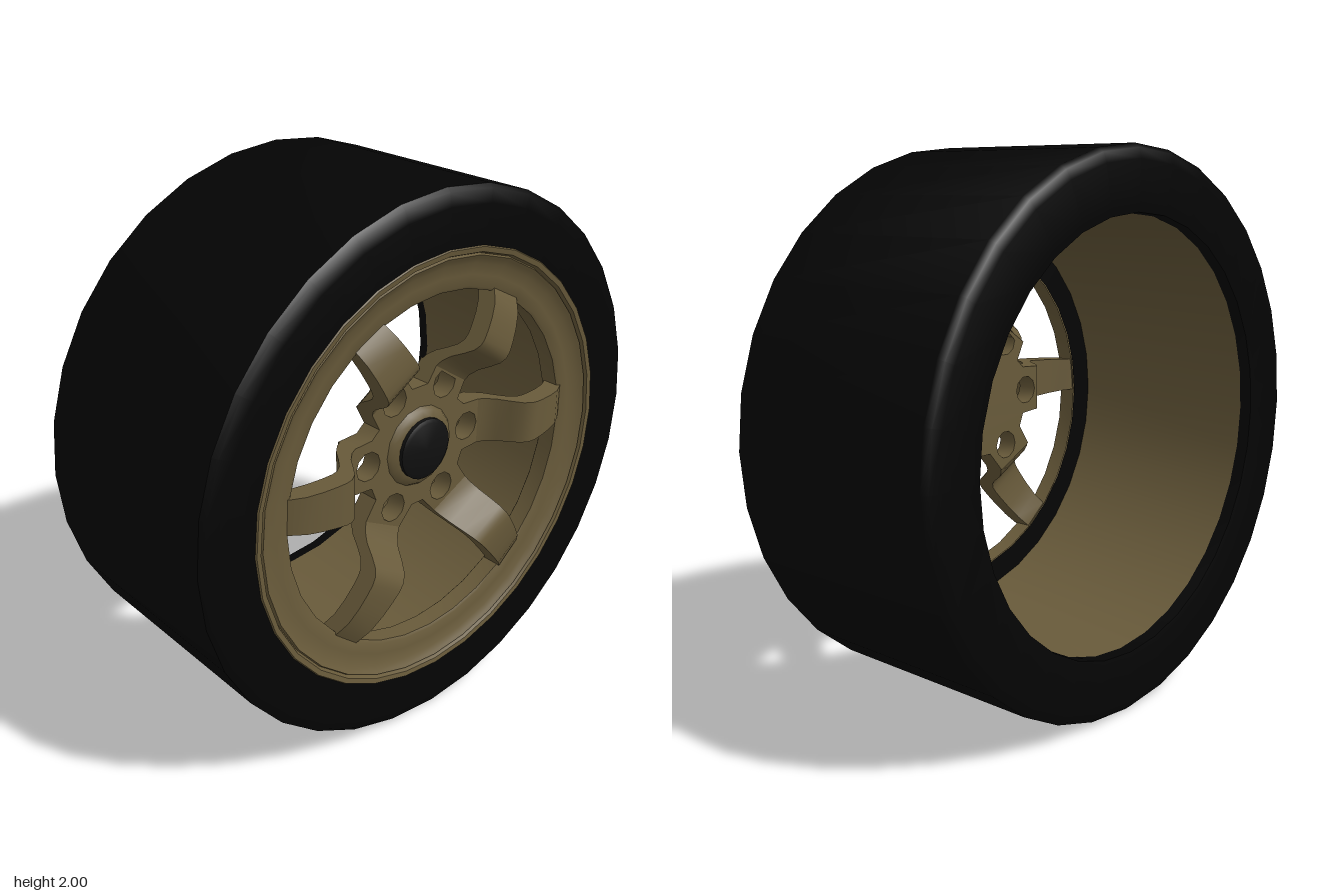
import * as THREE from 'three';
import { toCreasedNormals } from 'three/addons/utils/BufferGeometryUtils.js';

const paint = (color) => new THREE.MeshStandardMaterial({ color, side: THREE.DoubleSide });
const rubber = paint(0x040404), bronze = paint(0x685a3a), dark = paint(0x101010);
const HUB_Y = 1.067; // the hub sits a little above the rim centre
const v2 = (x, y) => new THREE.Vector2(x, y);

function addMesh(group, name, geometry, material) {
  const mesh = new THREE.Mesh(toCreasedNormals(geometry, 0.8), material);
  mesh.name = name;
  group.add(mesh);
}

// Lathe of [radius, x] points around a level axis along x.
function wheelLathe(points, y, segments = 32) {
  return new THREE.LatheGeometry(points.map(([r, x]) => v2(r, x)), segments)
    .rotateZ(-Math.PI / 2).translate(0, y, 0);
}

// Spokes as two edges, [inner, outer] each, seen from the outer face; counter-clockwise.
const rightSpokes = [
  { a: [v2(0.027, 0.84), v2(0.36, 0.46)], b: [v2(0.2, 0.925), v2(0.455, 0.54)] },
  { a: [v2(0.22, 0.975), v2(0.64, 1.005)], b: [v2(0.22, 1.16), v2(0.64, 1.135)] },
  { a: [v2(0.187, 1.19), v2(0.364, 1.54)], b: [v2(0.037, 1.294), v2(0.246, 1.604)] },
];
const flip = (edge) => edge.map((p) => v2(-p.x, p.y));
const leftSpokes = rightSpokes.map(({ a, b }) => ({ a: flip(b), b: flip(a) })).reverse();
const spokes = [...rightSpokes, ...leftSpokes];
const along = (edge, t) => edge[0].clone().lerp(edge[1], t);
const STUB = 0.2; // share of each spoke that belongs to the hub plate

// Spoke: a box bent through stations of [share of length, front depth].
const stations = [[0.17, 0.318], [0.24, 0.333], [0.31, 0.362], [0.38, 0.408], [0.44, 0.442],
  [0.5, 0.459], [0.56, 0.463], [0.65, 0.46], [0.77, 0.452], [0.9, 0.437], [1, 0.413], [1.08, 0.39]];
function spokeGeometry({ a, b }) {
  const n = stations.length - 1;
  const geometry = new THREE.BoxGeometry(1, 1, 1, n, 1, 1);
  const pos = geometry.attributes.position;
  for (let i = 0; i < pos.count; i++) {
    const [t, front] = stations[Math.round((pos.getX(i) + 0.5) * n)];
    const p = along(a, t).lerp(along(b, t), pos.getY(i) + 0.5);
    // the back never sinks behind the ring where the spoke joins it
    const back = t >= 1 ? Math.max(front - 0.075, 0.337) : front - 0.075;
    pos.setXYZ(i, p.x, p.y, pos.getZ(i) > 0 ? front : back);
  }
  return geometry.rotateY(Math.PI / 2);
}

// Hub plate: star outline with six round bolt holes.
function hubGeometry() {
  const outline = spokes.flatMap(({ a, b }) => [a[0], along(a, STUB), along(b, STUB), b[0]]);
  const shape = new THREE.Shape(outline);
  for (let i = 0; i < 6; i++) {
    const angle = (i * Math.PI) / 3;
    const hole = [];
    for (let k = 0; k < 10; k++) {
      const turn = (-k * Math.PI) / 5;
      hole.push(v2(0.236 * Math.cos(angle) + 0.054 * Math.cos(turn),
        HUB_Y + 0.236 * Math.sin(angle) + 0.054 * Math.sin(turn)));
    }
    shape.holes.push(new THREE.Path(hole));
  }
  return new THREE.ExtrudeGeometry(shape, { depth: 0.078, bevelEnabled: false })
    .translate(0, 0, 0.242).rotateY(Math.PI / 2);
}

export function createModel() {
  const wheel = new THREE.Group();
  wheel.name = 'wheel';

  // Tyre with softened shoulders and a short inner bead at the back
  addMesh(wheel, 'tyre', wheelLathe([[0.772, -0.42], [0.775, -0.465], [0.8, -0.47], [0.95, -0.47],
    [0.985, -0.463], [1, -0.445], [1, 0.414], [0.985, 0.428], [0.94, 0.436], [0.795, 0.436],
    [0.79, 0.4]], 1), rubber);
  addMesh(wheel, 'innerBead', wheelLathe([[0.75, 0.33], [0.652, 0.33]], 1), rubber);

  // Rim: barrel, then a ring nearly level with the spokes and a stepped outer lip
  addMesh(wheel, 'rimBarrel', wheelLathe([[0.772, -0.42], [0.75, 0.335]], 1), bronze);
  addMesh(wheel, 'rimLip', wheelLathe([[0.65, 0.332], [0.65, 0.4], [0.66, 0.406], [0.7, 0.408],
    [0.74, 0.414], [0.76, 0.426], [0.77, 0.432], [0.775, 0.422], [0.782, 0.438], [0.8, 0.441],
    [0.805, 0.434]], 1), bronze);

  // Spokes and hub
  spokes.forEach((spoke, i) => addMesh(wheel, `spoke${i + 1}`, spokeGeometry(spoke), bronze));
  addMesh(wheel, 'hubPlate', hubGeometry(), bronze);
  addMesh(wheel, 'hubBoss', wheelLathe([[0.152, 0.318], [0.14, 0.334], [0.112, 0.342]], HUB_Y, 16), bronze);
  addMesh(wheel, 'hubCap', wheelLathe([[0.113, 0.3], [0.113, 0.355], [0.1, 0.362], [0, 0.364]], HUB_Y, 24), dark);

  return wheel;
}
